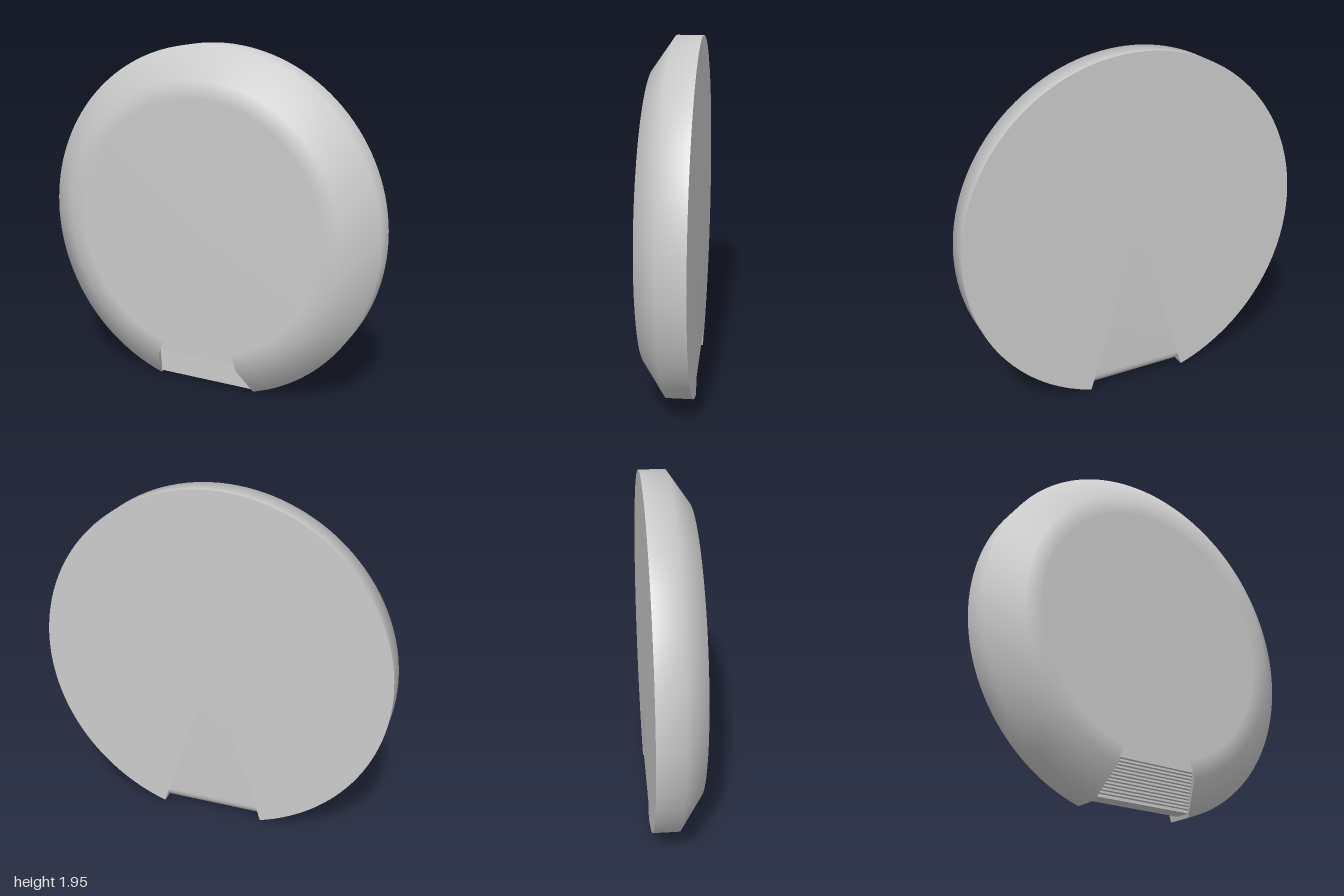
import * as THREE from 'three';
import { toCreasedNormals } from 'three/addons/utils/BufferGeometryUtils.js';

const CY = 0.955, BACK = -0.135, RIM = 0.01, FRONT = 0.135;
const GAP = Math.asin(0.3); // half angle of the notch

export function createModel() {
  const model = new THREE.Group();
  const grey = new THREE.MeshStandardMaterial({ color: 0xcccccc });
  const thin = new THREE.MeshStandardMaterial({ color: 0xcccccc, side: THREE.DoubleSide });
  const add = (name, geometry, material = grey) => {
    const mesh = new THREE.Mesh(geometry, material);
    mesh.name = name;
    model.add(mesh);
    return mesh;
  };
  const lathe = (points) => new THREE.LatheGeometry(
    points.map(([r, z]) => new THREE.Vector2(r, z)), 120, GAP, 2 * Math.PI - 2 * GAP
  ).rotateX(Math.PI / 2).translate(0, CY, 0);

  // Disc: softly shaded bevelled front and rim, sharp-edged flat back
  add('discFront', lathe([[1, BACK], [1, RIM], [0.82, FRONT], [0.72, FRONT], [0, FRONT]]));
  add('discBack', lathe([[0, BACK], [1, BACK]]));

  // Radial walls either side of the notch
  const wall = new THREE.ShapeGeometry(new THREE.Shape(
    [[0.6, BACK], [1, BACK], [1, RIM], [0.82, FRONT], [0.6, FRONT]].map(([r, z]) => new THREE.Vector2(r, z))
  ));
  for (const s of [-1, 1]) {
    const along = new THREE.Vector3(s * Math.sin(GAP), -Math.cos(GAP), 0);
    const depth = new THREE.Vector3(0, 0, 1);
    const basis = new THREE.Matrix4().makeBasis(along, depth, along.clone().cross(depth)).setPosition(0, CY, 0);
    add(s > 0 ? 'notchWallLeft' : 'notchWallRight', wall.clone().applyMatrix4(basis), thin);
  }

  // Notch insert: section in z, y running down the front and up the back
  const section = [[FRONT, CY], [FRONT, 0.22]];
  const ridges = 12;
  for (let i = 0; i < ridges; i++) { // fine ridges on the sloping front
    const t = i / ridges, u = (i + 0.5) / ridges;
    section.push([FRONT - 0.115 * t, 0.205 - 0.18 * t]);
    section.push([FRONT - 0.115 * u - 0.005, 0.205 - 0.18 * u + 0.003]);
  }
  section.push([0.02, 0.02], [-0.06, 0.02]);
  for (let i = 1; i <= 10; i++) { // rounded lower back edge
    const a = (i / 10) * Math.PI / 2;
    section.push([-0.06 - 0.075 * Math.sin(a), 0.095 - 0.075 * Math.cos(a)]);
  }
  section.push([BACK, CY]);

  // The insert fills the wedge, so its width grows away from the disc centre
  const positions = [], index = [];
  section.forEach(([z, y], i) => {
    const w = (CY - y) * Math.tan(GAP);
    positions.push(-w, y, z, w, y, z);
    if (i < section.length - 1) {
      const a = 2 * i;
      index.push(a, a + 2, a + 3, a, a + 3, a + 1);
    }
  });
  const insert = new THREE.BufferGeometry();
  insert.setAttribute('position', new THREE.Float32BufferAttribute(positions, 3));
  insert.setIndex(index);
  add('notchInsert', toCreasedNormals(insert, 0.4), thin);

  return model;
}
